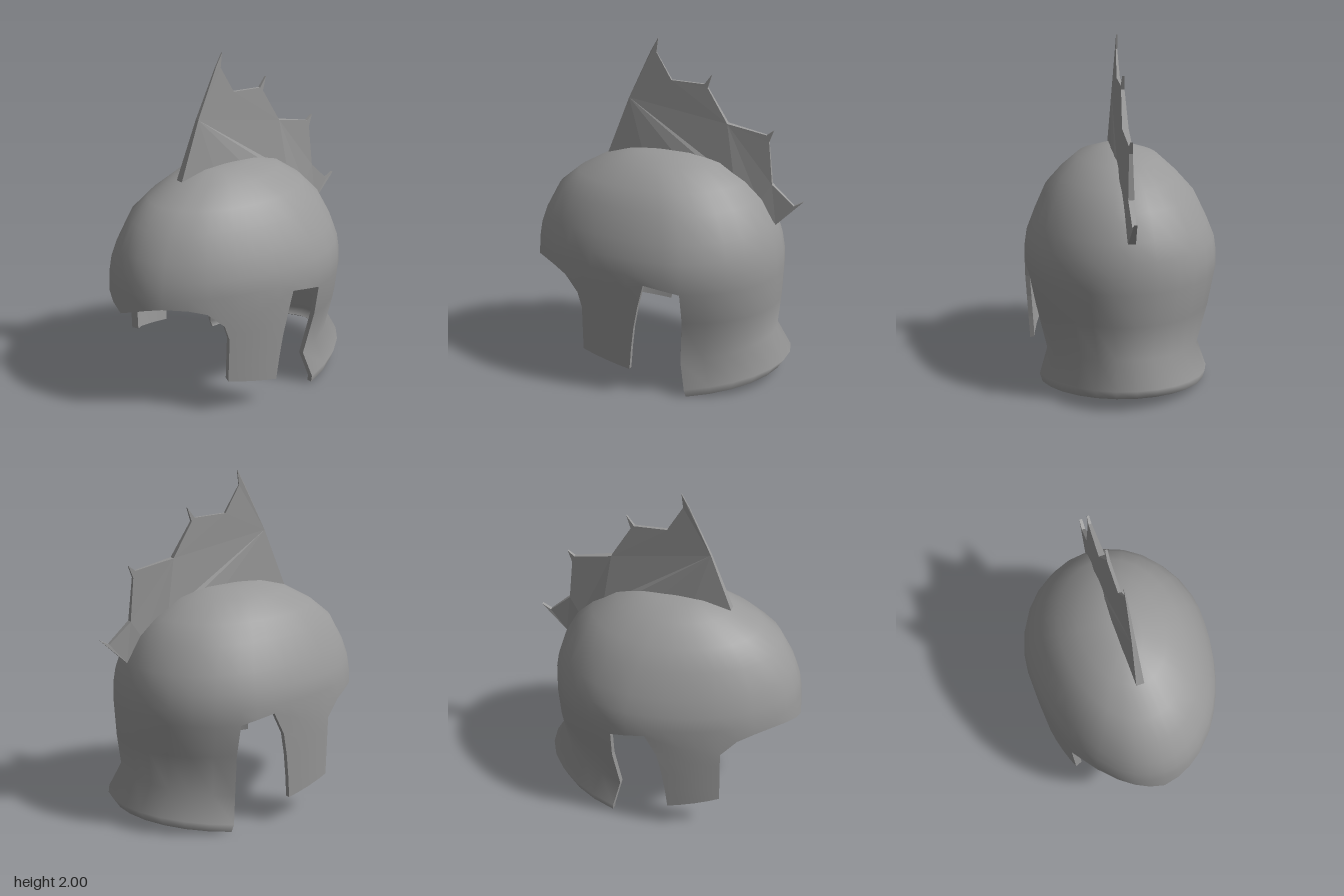
import * as THREE from 'three';

const steel = new THREE.MeshStandardMaterial({ color: 0x999999 });
steel.name = 'grey steel';

const lerp = THREE.MathUtils.lerp, rad = THREE.MathUtils.degToRad;

// Dome cross-sections: height, half width, front z, back z, z of widest point
const RINGS = [
  [1.362, 0, 0.04, 0.04, 0.04],
  [1.345, 0.10, 0.22, -0.16, 0.03],
  [1.30, 0.24, 0.37, -0.32, 0.02],
  [1.20, 0.35, 0.55, -0.47, -0.01],
  [1.10, 0.44, 0.67, -0.57, -0.04],
  [0.95, 0.51, 0.75, -0.65, -0.07],
  [0.85, 0.55, 0.785, -0.68, -0.08],
  [0.76, 0.563, 0.80, -0.695, -0.08],
  [0.62, 0.563, 0.81, -0.70, -0.08],
  [0.16, 0.54, 0.81, -0.70, -0.08],
];
// Lower edge of the dome: angle from the front, height
const BROW = [[0, 0.61], [9, 0.645], [18, 0.675], [27, 0.695], [39.5, 0.692], [48, 0.665],
  [55.4, 0.58], [70, 0.63], [84.8, 0.71], [102, 0.67], [180, 0.67]];
// Neck guard rows: height at the side, rise toward the back, half width, back z, z of widest point
const NECK = [
  [0.48, 0, 0.525, -0.69, -0.09],
  [0.18, 0.10, 0.46, -0.67, -0.065],
  [0.03, 0.10, 0.51, -0.755, -0.085],
  [-0.015, 0.085, 0.495, -0.715, -0.105],
];
// Cheek guard rows: fraction of the drop, width of the strip
const CHEEK = [[0.25, 0.85], [0.5, 0.79], [0.75, 0.75], [1, 0.72]];

const HALF = [0, 9, 18, 27, 39.5, 48, 55.4, 62, 70, 78, 84.8, 93, 102, 115, 128, 141, 154, 167, 180];
const COLUMNS = [...HALF, ...HALF.slice(1, -1).reverse().map(a => -a)];
const DOME_ROWS = 8;

// Linear lookup in a table whose first entries rise or fall steadily
function sample(table, key) {
  const dir = Math.sign(table[1][0] - table[0][0]);
  let i = 0;
  while (i < table.length - 2 && (key - table[i + 1][0]) * dir > 0) i++;
  const t = THREE.MathUtils.clamp((key - table[i][0]) / (table[i + 1][0] - table[i][0]), 0, 1);
  return table[i].slice(1).map((v, k) => lerp(v, table[i + 1][k + 1], t));
}

// Point on an oval cross-section at an angle measured from the front
function ovalPoint(angle, y, [w, front, back, mid]) {
  const c = Math.cos(rad(angle));
  return [w * Math.sin(rad(angle)), y, mid + c * (c > 0 ? front - mid : mid - back)];
}

function shellPoint(angle, row) {
  const a = Math.abs(angle), side = angle < 0 ? -1 : 1;
  const brow = sample(BROW, a)[0];
  if (row < DOME_ROWS) return ovalPoint(angle, RINGS[row][0], RINGS[row].slice(1));
  if (row === DOME_ROWS) return ovalPoint(angle, brow, sample(RINGS, brow));
  const k = row - DOME_ROWS - 1;
  if (a >= 102) {
    const [y, rise, w, back, mid] = NECK[k];
    return ovalPoint(angle, y - rise * Math.cos(rad(a)), [w, 0.81, back, mid]);
  }
  // The left cheek guard sits slightly further back than the right one
  const [drop, narrow] = CHEEK[k];
  const y = lerp(brow, lerp(0.22, 0.16, (a - 55.4) / 29.4), drop);
  const shift = side > 0 ? 2.2 : 0;
  return ovalPoint(side * (55.4 + shift + (a - 55.4) * narrow), y, sample(RINGS, y));
}

function makeGeometry(positions, index) {
  const g = new THREE.BufferGeometry();
  g.setAttribute('position', new THREE.Float32BufferAttribute(positions, 3));
  if (index) g.setIndex(index);
  g.computeVertexNormals();
  return g;
}

function makeMesh(name, geometry) {
  const mesh = new THREE.Mesh(geometry, steel);
  mesh.name = name;
  return mesh;
}

function createShell() {
  const n = COLUMNS.length, rows = DOME_ROWS + 1 + NECK.length;
  const pos = [...shellPoint(0, 0)], index = [];
  for (let r = 1; r < rows; r++) for (const a of COLUMNS) pos.push(...shellPoint(a, r));
  const id = (c, r) => r === 0 ? 0 : 1 + (r - 1) * n + c % n;

  // Dome everywhere; below the brow only the cheek and neck guards
  for (let r = 0; r < rows - 1; r++) for (let c = 0; c < n; c++) {
    const a0 = Math.abs(COLUMNS[c]), a1 = Math.abs(COLUMNS[(c + 1) % n]);
    const lo = Math.min(a0, a1), hi = Math.max(a0, a1);
    const guard = (lo >= 55.4 && hi <= 84.8) || lo >= 102;
    if (r >= DOME_ROWS && !guard) continue;
    index.push(id(c, r), id(c, r + 1), id(c + 1, r + 1));
    if (r > 0) index.push(id(c, r), id(c + 1, r + 1), id(c + 1, r));
  }
  const outer = makeGeometry(pos, index);

  // Open edges of the skin
  const edges = [];
  for (let i = 0; i < index.length; i += 3)
    for (let k = 0; k < 3; k++) edges.push([index[i + k], index[i + (k + 1) % 3]]);
  const known = new Set(edges.map(e => e.join('_')));
  const open = edges.filter(([a, b]) => !known.has(b + '_' + a));
  const border = new Set(open.flat());

  // Lining: the skin moved inward and turned over, thickest around the face
  const normal = outer.attributes.normal.array;
  const thickness = i => !border.has(i) ? 0.024 : pos[i * 3 + 2] > 0.38 ? 0.045 : 0.027;
  const inPos = pos.map((v, i) => v - normal[i] * thickness(Math.floor(i / 3)));
  const inIndex = [];
  for (let i = 0; i < index.length; i += 3) inIndex.push(index[i], index[i + 2], index[i + 1]);

  // Rim: joins the two skins along every open edge
  const rim = [];
  const at = (p, i) => p.slice(i * 3, i * 3 + 3);
  for (const [a, b] of open) {
    rim.push(...at(pos, b), ...at(pos, a), ...at(inPos, a));
    rim.push(...at(pos, b), ...at(inPos, a), ...at(inPos, b));
  }

  const group = new THREE.Group();
  group.name = 'helmetShell';
  group.add(makeMesh('outerShell', outer), makeMesh('innerLining', makeGeometry(inPos, inIndex)),
    makeMesh('rim', makeGeometry(rim)));
  return group;
}

// Spiked crest: a flat profile, thick at the dome and thin at the points
function createCrest() {
  const outline = [[0.37, 1.3], [0.24, 1.64], [0.11, 1.92], [0.065, 2], [0.075, 1.915], [-0.015, 1.76],
    [-0.21, 1.75], [-0.255, 1.81], [-0.23, 1.73], [-0.35, 1.53], [-0.58, 1.48], [-0.62, 1.51],
    [-0.595, 1.44], [-0.62, 1.19], [-0.75, 1.07], [-0.805, 1.1], [-0.65, 0.95],
    [-0.55, 1.08], [-0.4, 1.21], [-0.25, 1.28], [-0.05, 1.33], [0.15, 1.33]];
  const shape = new THREE.Shape(outline.map(p => new THREE.Vector2(...p)));
  const g = new THREE.ExtrudeGeometry(shape, { depth: 2, bevelEnabled: false });
  g.translate(0, 0, -1).rotateY(-Math.PI / 2);
  const p = g.attributes.position;
  for (let i = 0; i < p.count; i++) {
    const y = p.getY(i), z = p.getZ(i);
    const d = Math.hypot(z + 0.02, y - 0.62);
    const taper = 1 - 0.65 * Math.min(1, ((z + 0.1) / 0.6) ** 2);
    const half = (0.004 + 0.046 * Math.max(0, (1.38 - d) / 0.68) ** 2) * taper;
    p.setX(i, p.getX(i) * half - 0.028 * z);
  }
  g.computeVertexNormals();
  return makeMesh('crest', g);
}

export function createModel() {
  const model = new THREE.Group();
  model.name = 'helmet';
  model.add(createShell(), createCrest());
  return model;
}
